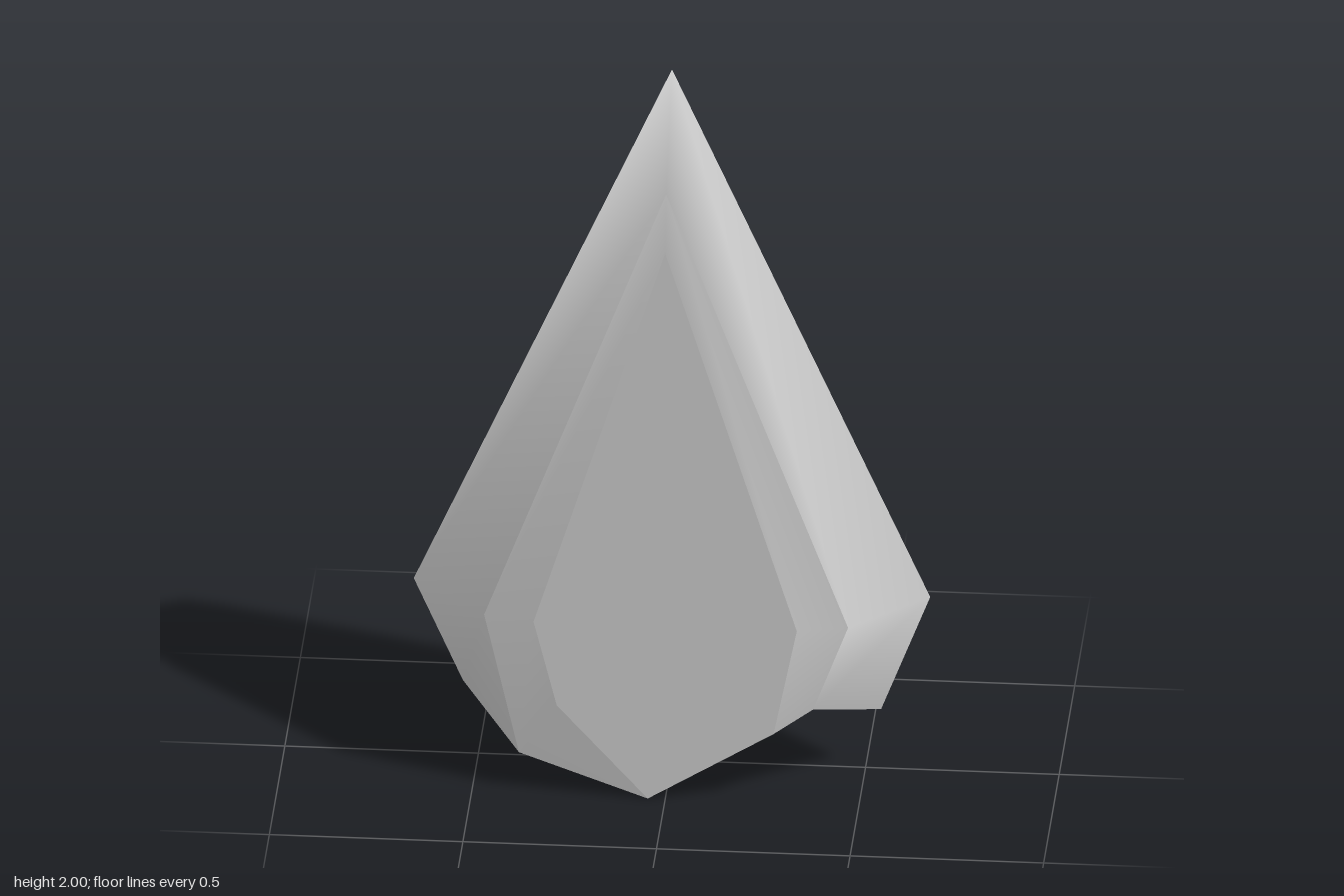
import * as THREE from 'three';

const material = new THREE.MeshStandardMaterial({ color: 0xcccccc, side: THREE.DoubleSide });

// Lift a 2D outline to depth z
const at = (z, points) => points.map(([x, y]) => [x, y, z]);

function makeMesh(name, points, triangles, back) {
  const geometry = new THREE.BufferGeometry();
  geometry.setAttribute('position', new THREE.Float32BufferAttribute(points.flat(), 3));
  geometry.setIndex(triangles.flatMap(([a, b, c]) => (back ? [a, c, b] : [a, b, c])));
  geometry.computeVertexNormals();
  const mesh = new THREE.Mesh(geometry, material);
  mesh.name = name;
  return mesh;
}

// Band of facets between two outlines, both clockwise from the front;
// shading is smooth along the band and sharp at its rims
function band(name, outer, inner, back) {
  const n = outer.length;
  const triangles = [];
  for (let i = 0; i < n - 1; i++) {
    triangles.push([i, n + i, n + i + 1], [i, n + i + 1, i + 1]);
  }
  return makeMesh(name, [...outer, ...inner], triangles, back);
}

// Flat face filling a convex outline
function face(name, outline, back) {
  const triangles = [];
  for (let i = 1; i < outline.length - 1; i++) triangles.push([0, i + 1, i]);
  return makeMesh(name, outline, triangles, back);
}

export function createModel() {
  const group = new THREE.Group();
  group.name = 'hollowShard';

  // Widest outline, shared by both halves; its lower end is open
  const girdle = at(0, [[-0.54, 0.21], [-0.667, 0.5], [0, 2], [0.667, 0.5], [0.54, 0.17]]);

  // Front half, with a tip that hangs down off centre
  const frontRim = at(0.19, [[-0.38, 0.105], [-0.47, 0.5], [0, 1.735], [0.47, 0.5], [0.38, 0.26]]);
  const frontTable = at(0.22, [[-0.28, 0.26], [-0.34, 0.5], [0, 1.58], [0.34, 0.5], [0.28, 0.2]]);
  const frontTip = [-0.045, 0, 0.22];
  group.add(
    band('frontSide', girdle, frontRim, false),
    band('frontBevel', [frontTip, ...frontRim], [frontTip, ...frontTable], false),
    face('frontFace', [frontTip, ...frontTable], false),
  );

  // Back half, whose bevel runs all the way round
  const backRim = at(-0.19, [[-0.38, 0.11], [-0.47, 0.5], [0, 1.735], [0.47, 0.5], [0.38, 0.27]]);
  const backTable = at(-0.22, [[-0.3, 0.385], [-0.34, 0.5], [0, 1.58], [0.34, 0.5], [0.275, 0.385]]);
  const backTip = [0, 0.04, -0.19];
  const backTableTip = [-0.01, 0.24, -0.22];
  group.add(
    band('backSide', girdle, backRim, true),
    band('backBevel', [backTip, ...backRim, backTip], [backTableTip, ...backTable, backTableTip], true),
    face('backFace', [backTableTip, ...backTable], true),
  );

  return group;
}
